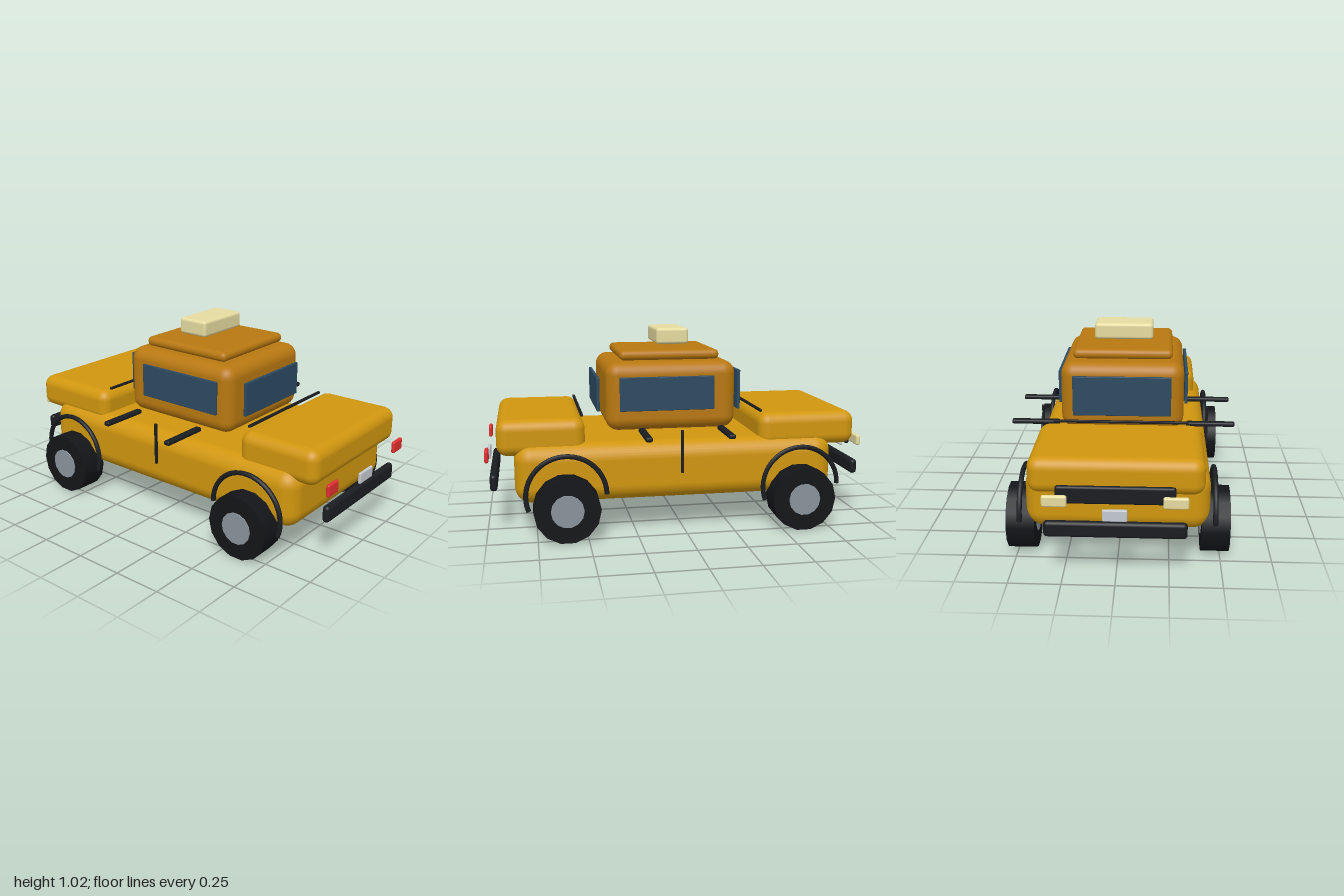
import * as THREE from 'three';
import { RoundedBoxGeometry } from 'three/addons/geometries/RoundedBoxGeometry.js';

const mat = (color) => new THREE.MeshStandardMaterial({ color });

export function createModel() {
  const car = new THREE.Group();
  car.name = 'taxi';
  const yellow = mat(0xd0960e), orange = mat(0xb87810), cream = mat(0xe6dba0);
  const glass = mat(0x2c4a62), black = mat(0x1a1d21), rubber = mat(0x131518);
  const red = mat(0xe03030), silver = mat(0xc4cad0), steel = mat(0x8a949c);

  const add = (name, geometry, material, x = 0, y = 0, z = 0) => {
    const mesh = new THREE.Mesh(geometry, material);
    mesh.name = name;
    mesh.position.set(x, y, z);
    car.add(mesh);
    return mesh;
  };
  // Rounded box given by its [min, max] extent on each axis
  const block = (name, material, [x0, x1], [y0, y1], [z0, z1], r) =>
    add(name, new RoundedBoxGeometry(x1 - x0, y1 - y0, z1 - z0, 5, r), material,
      (x0 + x1) / 2, (y0 + y1) / 2, (z0 + z1) / 2);
  const sym = (h) => [-h, h];

  // Bodywork
  block('body', yellow, sym(0.445), [0.17, 0.47], [-0.79, 0.855], 0.085);
  block('frontDeck', yellow, sym(0.4), [0.41, 0.593], [0.5, 0.94], 0.055);
  block('rearDeck', yellow, sym(0.41), [0.415, 0.59], [-0.92, -0.4], 0.055);
  block('cabin', orange, sym(0.32), [0.505, 0.858], [-0.295, 0.385], 0.065);
  block('roof', orange, sym(0.26), [0.863, 0.914], [-0.215, 0.308], 0.025);
  block('roofSign', cream, sym(0.155), [0.935, 1.02], [-0.072, 0.1], 0.016);

  // Windows
  block('frontWindow', glass, sym(0.233), [0.6, 0.775], [0.411, 0.427], 0.003);
  block('rearWindow', glass, sym(0.253), [0.595, 0.803], [-0.332, -0.316], 0.003);

  // Deck seams
  block('frontDeckSeam', black, sym(0.325), [0.592, 0.605], [0.505, 0.519], 0.003);
  block('rearDeckSeam', black, sym(0.34), [0.59, 0.603], [-0.43, -0.416], 0.003);

  // Bumpers, grille and plates
  block('frontBumper', black, sym(0.33), [0.222, 0.308], [0.942, 0.98], 0.018);
  block('rearBumper', black, sym(0.33), [0.23, 0.308], [-0.975, -0.937], 0.018);
  block('grille', black, sym(0.275), [0.387, 0.474], [-0.948, -0.922], 0.012);
  block('frontPlate', silver, sym(0.062), [0.333, 0.39], [0.98, 0.996], 0.006);
  block('rearPlate', silver, sym(0.057), [0.328, 0.385], [-1, -0.982], 0.006);

  for (const s of [1, -1]) {
    const side = s > 0 ? 'left' : 'right';
    const span = (a, b) => (s > 0 ? [a, b] : [-b, -a]);
    block(side + 'Window', glass, span(0.326, 0.342), [0.613, 0.787], [-0.172, 0.318], 0.003);
    block(side + 'TailLight', red, span(0.28, 0.37), [0.38, 0.443], [0.98, 1], 0.009);
    block(side + 'Headlight', cream, span(0.217, 0.333), [0.388, 0.443], [-0.988, -0.963], 0.01);
    block(side + 'DoorSeam', black, span(0.45, 0.464), [0.31, 0.532], [0.011, 0.025], 0.003);

    for (const z of [0.207, -0.207]) {
      block(side + 'DoorHandle', black, span(0.335, 0.592), [0.503, 0.527], [z - 0.018, z + 0.018], 0.01);
    }

    // Wheels, hubcaps and arch trims
    for (const z of [0.604, -0.604]) {
      const tyre = add(side + 'Tyre', new THREE.CylinderGeometry(0.166, 0.166, 0.138, 14), rubber, s * 0.474, 0.164, z);
      const hub = add(side + 'Hubcap', new THREE.CylinderGeometry(0.082, 0.082, 0.148, 14), steel, s * 0.476, 0.164, z);
      tyre.rotation.z = hub.rotation.z = Math.PI / 2;
      const arch = add(side + 'ArchTrim', new THREE.TorusGeometry(0.2, 0.0125, 8, 28, 3.5), black, s * 0.467, 0.222, z);
      arch.rotation.y = Math.PI / 2;
    }
  }
  return car;
}
